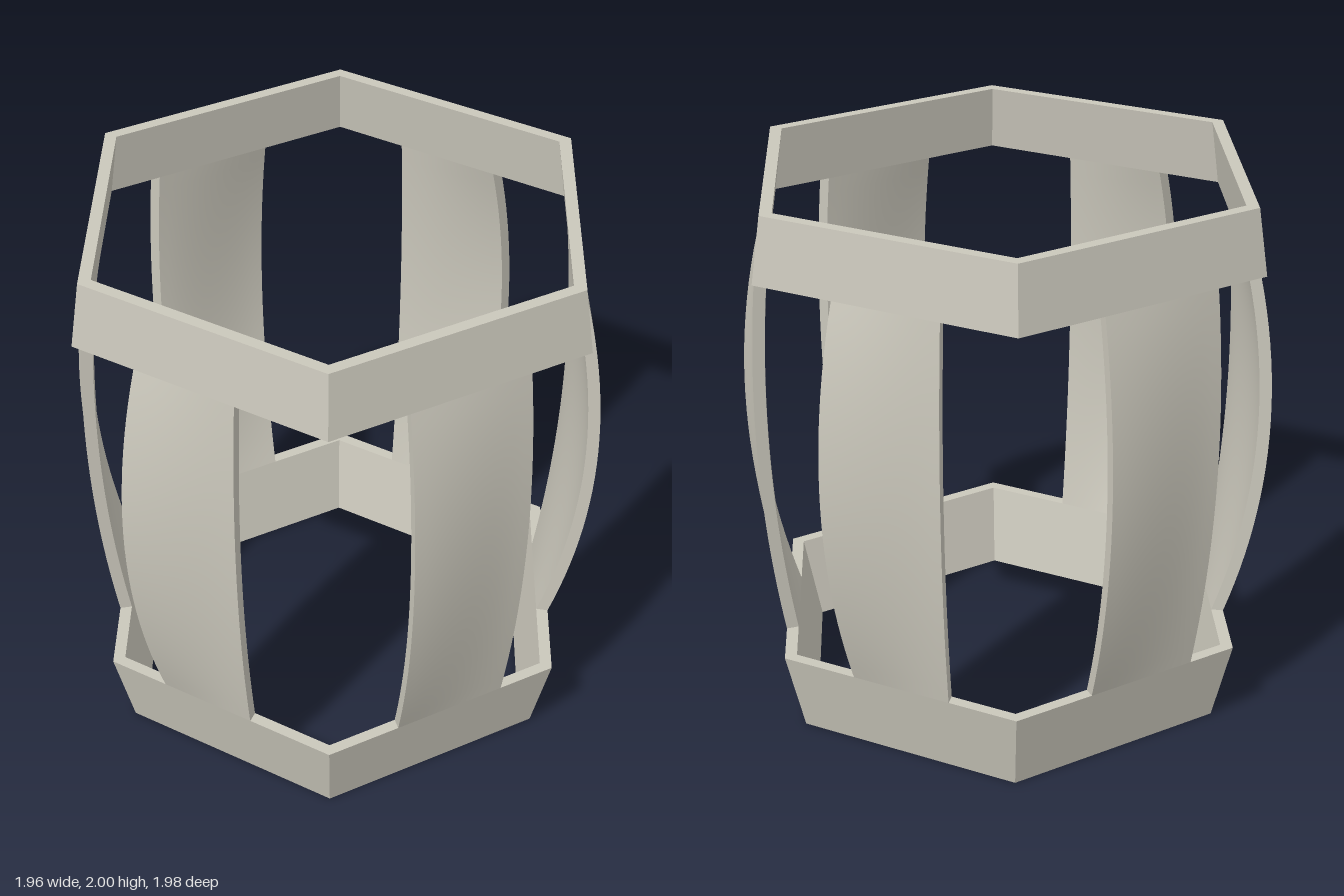
import * as THREE from 'three';
import { mergeGeometries } from 'three/addons/utils/BufferGeometryUtils.js';

const SIDES = 6;
const APOTHEM = Math.cos(Math.PI / SIDES);
const TURN = -20 * Math.PI / 180;
const WALL = 0.043;
const LOW = 0.3, HIGH = 1.76;
const LOW_RADIUS = 0.94, HIGH_RADIUS = 1.004;

// Start and end of each stave across its side, as a slope from the centre
const STAVES = [
  [-0.229, 0.304], [-0.185, 0.308], [-0.222, 0.25],
  [-0.189, 0.342], [-0.234, 0.211], [-0.288, 0.167],
];

// Surface patch from a rule point(u, v); faces along du x dv
function patch(point, nu = 1, nv = 1) {
  const pos = [], index = [];
  for (let j = 0; j <= nv; j++) {
    for (let i = 0; i <= nu; i++) pos.push(...point(i / nu, j / nv));
  }
  for (let j = 0; j < nv; j++) {
    for (let i = 0; i < nu; i++) {
      const a = j * (nu + 1) + i, d = a + nu + 1;
      index.push(a, a + 1, d + 1, a, d + 1, d);
    }
  }
  const g = new THREE.BufferGeometry();
  g.setAttribute('position', new THREE.Float32BufferAttribute(pos, 3));
  g.setIndex(index);
  g.computeVertexNormals();
  return g;
}

// Tapered hexagonal band: [corner radius, height] at its lower and upper edge
function bandGeometry([r0, y0], [r1, y1]) {
  const t = WALL / APOTHEM;
  const loop = [[r0, y0], [r1, y1], [r1 - t, y1], [r0 - t, y0]];
  const parts = [];
  for (let s = 0; s < SIDES; s++) {
    loop.forEach(([ra, ya], k) => {
      const [rb, yb] = loop[(k + 1) % 4];
      parts.push(patch((u, v) => {
        const r = THREE.MathUtils.lerp(ra, rb, v);
        return [(u - 0.5) * r, THREE.MathUtils.lerp(ya, yb, v), r * APOTHEM];
      }).rotateY(TURN + s * Math.PI / 3));
    });
  }
  return mergeGeometries(parts);
}

// Bowed stave: swells outward at mid height, more on one edge than the other
function staveGeometry([start, end]) {
  const point = (u, v, depth) => {
    const bow = 4 * v * (1 - v);
    const swell = THREE.MathUtils.lerp(0.11, 0.05, u * u * (3 - 2 * u));
    const z = THREE.MathUtils.lerp(LOW_RADIUS, HIGH_RADIUS, v) * APOTHEM + bow * swell - depth * WALL;
    return [z * THREE.MathUtils.lerp(start, end, u), THREE.MathUtils.lerp(LOW, HIGH, v), z];
  };
  return mergeGeometries([
    patch((u, v) => point(u, v, 0), 12, 24),
    patch((u, v) => point(1 - u, v, 1), 12, 24),
    patch((u, v) => point(0, v, 1 - u), 1, 24),
    patch((u, v) => point(1, v, u), 1, 24),
  ]);
}

export function createModel() {
  const model = new THREE.Group();
  model.name = 'hexagonalCage';
  const stone = new THREE.MeshStandardMaterial({ color: 0xcac7bb });
  stone.name = 'warm grey';

  const add = (name, geometry) => {
    const mesh = new THREE.Mesh(geometry, stone);
    mesh.name = name;
    model.add(mesh);
    return mesh;
  };

  // Bands
  add('lowerBand', bandGeometry([0.864, 0], [LOW_RADIUS, LOW]));
  add('upperBand', bandGeometry([HIGH_RADIUS, HIGH], [0.967, 2]));

  // One stave on each side of the hexagon
  STAVES.forEach((span, s) => {
    add(`stave${s + 1}`, staveGeometry(span)).rotation.y = TURN + s * Math.PI / 3;
  });
  return model;
}
